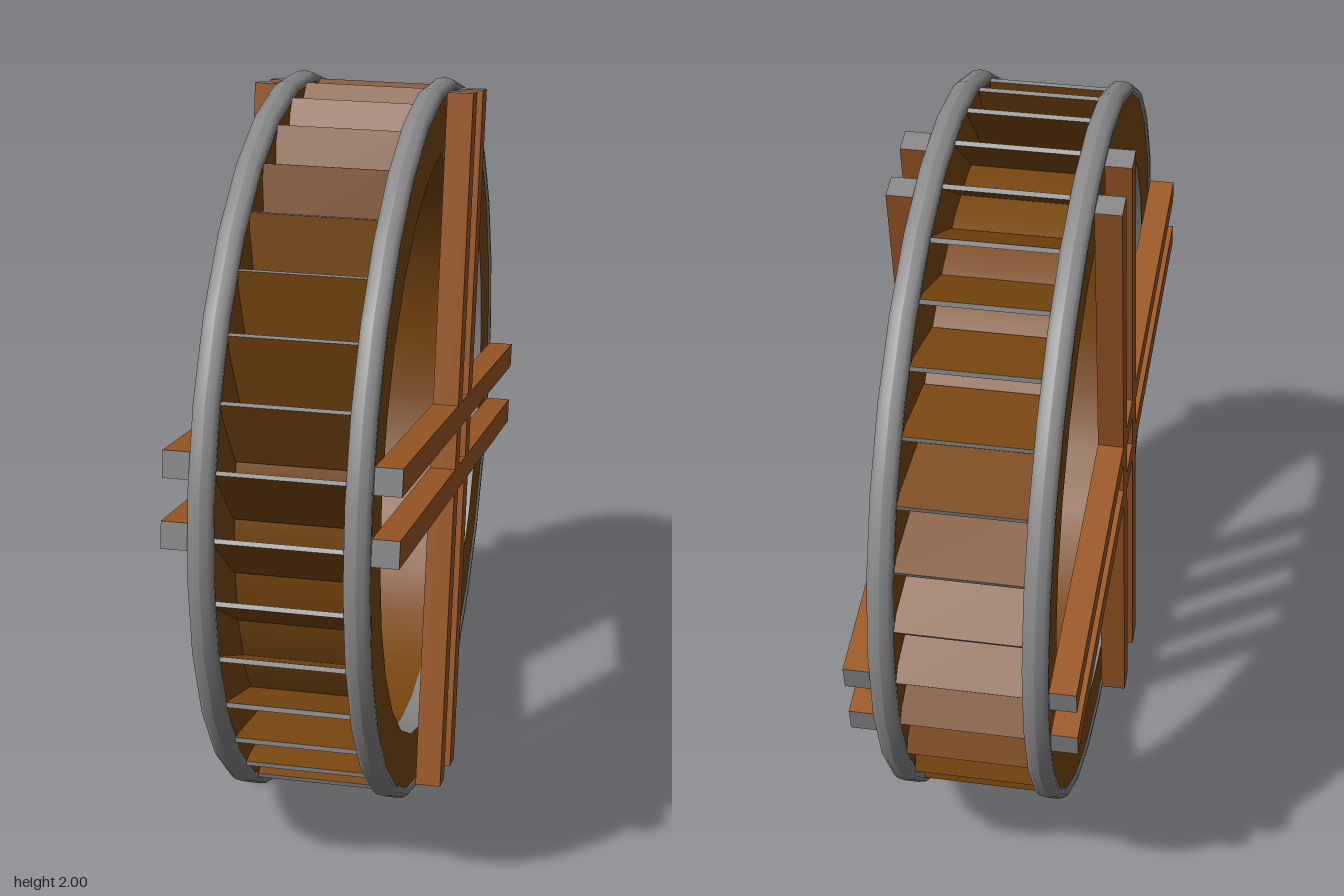
import * as THREE from 'three';

const SIDES = 28, PADDLES = 36;

export function createModel() {
  const material = (name, color) => {
    const m = new THREE.MeshStandardMaterial({ color });
    m.name = name;
    return m;
  };
  const wheelWood = material('wheel wood', 0x7a4710);
  const beamWood = material('beam wood', 0x9c5825);
  const grey = material('grey edging', 0x888888);

  const wheel = new THREE.Group();
  wheel.name = 'waterWheel';
  wheel.position.y = 1;

  const add = (parent, name, geometry, mat) => {
    const mesh = new THREE.Mesh(geometry, mat);
    mesh.name = name;
    parent.add(mesh);
    return mesh;
  };
  // revolve [radius, x] points around the x axis
  const revolve = (points) => new THREE.LatheGeometry(
    points.map(([r, x]) => new THREE.Vector2(r, x)), SIDES).rotateZ(-Math.PI / 2);

  // drum wall behind the paddles
  add(wheel, 'drumOuter', revolve([[0.835, -0.16], [0.835, 0.16]]), wheelWood);
  add(wheel, 'drumInner', revolve([[0.82, 0.16], [0.82, -0.16]]), wheelWood);

  // swept paddles, grey only on the outer edge (+z face of the box)
  const paddleGeo = new THREE.BoxGeometry(0.325, 0.013, 0.2);
  paddleGeo.translate(0, 0, -0.1);
  const paddleMats = [wheelWood, wheelWood, wheelWood, wheelWood, grey, wheelWood];
  const sweep = THREE.MathUtils.degToRad(40);
  for (let i = 0; i < PADDLES; i++) {
    const a = THREE.MathUtils.degToRad(5.9 + (i * 360) / PADDLES);
    const paddle = add(wheel, 'paddle', paddleGeo, paddleMats);
    paddle.position.set(0, 0.975 * Math.sin(a), 0.975 * Math.cos(a));
    paddle.rotation.x = -(a + sweep);
  }

  // side plates with rounded rims
  const rimPoints = [];
  for (let i = 0; i <= 10; i++) {
    const a = (i / 10) * Math.PI * 2;
    rimPoints.push([0.98 + 0.02 * Math.cos(a), 0.195 + 0.035 * Math.sin(a)]);
  }
  const rimGeo = revolve(rimPoints);
  const outerFace = revolve([[0.985, 0.222], [0.82, 0.222]]);
  const innerEdge = revolve([[0.82, 0.222], [0.82, 0.16]]);
  const innerFace = revolve([[0.82, 0.145], [0.975, 0.166]]);
  for (const turn of [0, Math.PI]) {
    const side = new THREE.Group();
    side.name = 'sideRing';
    side.rotation.y = turn;
    add(side, 'rim', rimGeo, grey);
    add(side, 'plateOuterFace', outerFace, wheelWood);
    add(side, 'plateInnerEdge', innerEdge, grey);
    add(side, 'plateInnerFace', innerFace, wheelWood);
    wheel.add(side);
  }

  // crossed pairs of beams on both sides, grey on the cut ends
  const beamGeo = new THREE.BoxGeometry(0.07, 1.937, 0.07);
  const beamMats = [beamWood, beamWood, grey, grey, beamWood, beamWood];
  for (const s of [-1, 1]) {
    for (const quarter of [0, 1]) {
      const pair = new THREE.Group();
      pair.name = 'beamPair';
      pair.position.x = s * 0.263;
      pair.rotation.x = -0.198 - (quarter * Math.PI) / 2;
      for (const o of [-1, 1]) add(pair, 'beam', beamGeo, beamMats).position.z = o * 0.089;
      wheel.add(pair);
    }
  }

  const model = new THREE.Group();
  model.name = 'model';
  model.add(wheel);
  return model;
}
